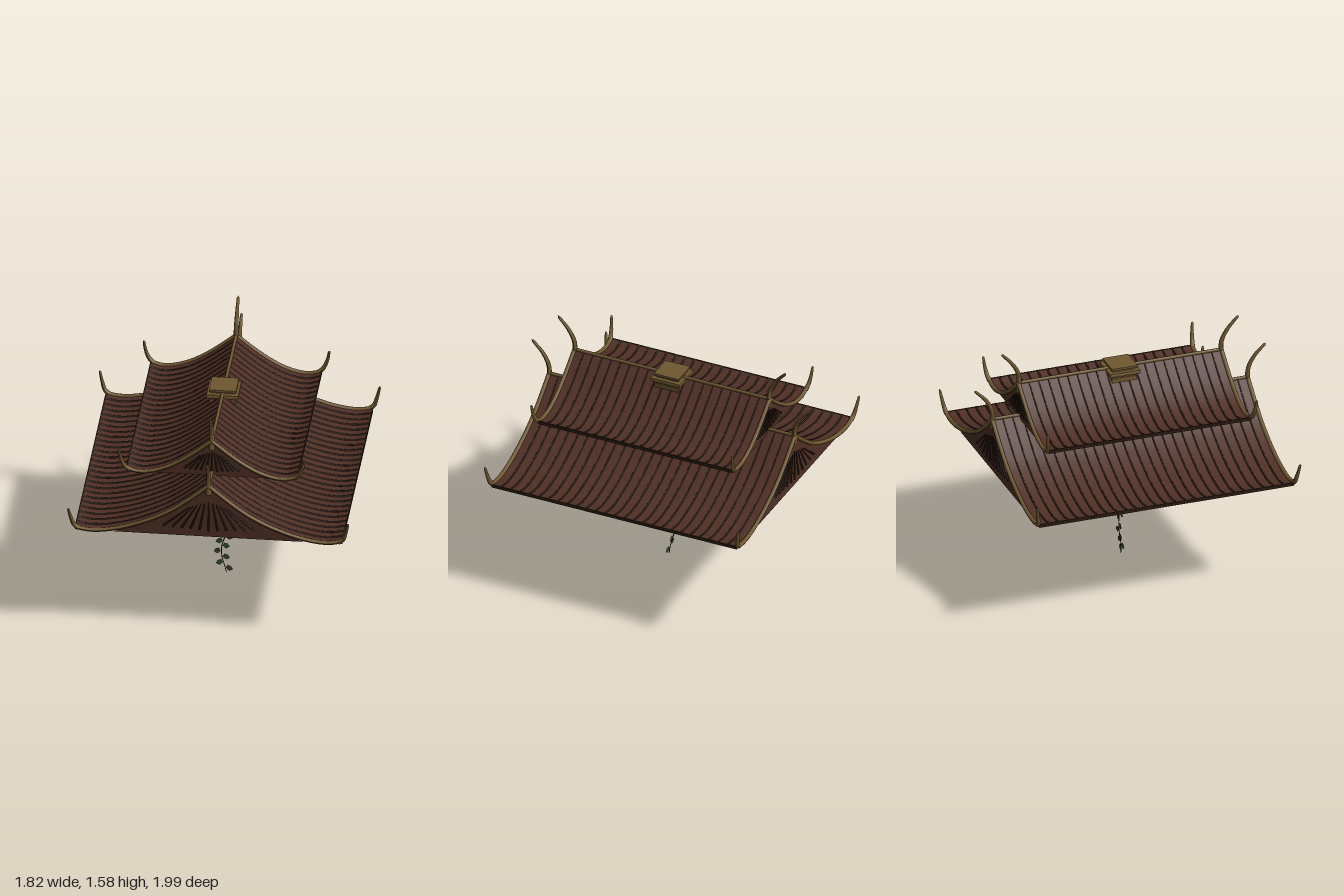
import * as THREE from 'three';
import { toCreasedNormals } from 'three/addons/utils/BufferGeometryUtils.js';

const mat = (name, color, side = THREE.FrontSide) => {
  const m = new THREE.MeshStandardMaterial({ color, side });
  m.name = name;
  return m;
};
const V = (x, y, z) => new THREE.Vector3(x, y, z);

export function createModel() {
  const model = new THREE.Group();
  model.name = 'tieredRoof';
  const wood = mat('brown wood', 0x4f2f25, THREE.DoubleSide);
  const dark = mat('dark ribs', 0x2a1b12);
  const gold = mat('old gold', 0x6f5830, THREE.DoubleSide);
  const redWood = mat('red brown panel', 0x46251f);
  const stemMat = mat('vine stem', 0x24201f);
  const leafMat = mat('leaf green', 0x35482a, THREE.DoubleSide);

  const add = (parent, name, geo, material, x = 0, y = 0, z = 0) => {
    const m = new THREE.Mesh(geo, material);
    m.name = name;
    m.position.set(x, y, z);
    parent.add(m);
    return m;
  };

  // Tube whose radius follows a rule along its length
  const taperTube = (points, radius, rule, n = 24, sides = 8) => {
    const path = new THREE.CatmullRomCurve3(points);
    const geo = new THREE.TubeGeometry(path, n, radius, sides);
    const pos = geo.attributes.position, v = V(0, 0, 0);
    for (let i = 0; i <= n; i++) {
      const c = path.getPointAt(i / n), s = rule(i / n);
      for (let j = 0; j <= sides; j++) {
        const k = i * (sides + 1) + j;
        v.fromBufferAttribute(pos, k).sub(c).multiplyScalar(s).add(c);
        pos.setXYZ(k, v.x, v.y, v.z);
      }
    }
    geo.computeVertexNormals();
    return geo;
  };
  const hornRule = t => (t > 0.99 ? 0 : 1 - 0.55 * t);

  function roofTier(name, o) {
    const g = new THREE.Group();
    g.name = name;
    model.add(g);
    const curve = new THREE.CatmullRomCurve3(o.profile.map(p => V(p[0], p[1], 0)));
    const half = curve.getPoints(24);
    const full = [...half.slice(1).reverse().map(p => V(-p.x, p.y, 0)), ...half];

    // Curved roof slab
    const outline = [...full, ...full.slice().reverse().map(p => V(p.x, p.y - 0.016, 0))];
    const slab = new THREE.ExtrudeGeometry(new THREE.Shape(outline.map(p => new THREE.Vector2(p.x, p.y))),
      { depth: 2 * o.z, bevelEnabled: false });
    slab.translate(0, 0, -o.z);
    add(g, 'roofSlab', toCreasedNormals(slab, 0.5), wood);

    // Dark ribs running down both slopes
    const count = Math.round((2 * o.z) / 0.066);
    for (const s of [-1, 1]) {
      const rib = taperTube(curve.getPoints(10).map(p => V(s * p.x, p.y, 0)), 0.0075, t => 0.55 + 0.45 * t, 18, 5);
      for (let i = 1; i < count; i++) add(g, 'roofRib', rib, dark, 0, 0, -o.z + (2 * o.z * i) / count);
      const end = half[half.length - 1];
      add(g, 'eaveEdge', new THREE.BoxGeometry(0.008, 0.022, 2 * o.z), dark, s * end.x, end.y - 0.01, 0);
    }

    // Ridge beam
    const ridge = new THREE.CylinderGeometry(0.011, 0.011, 2 * o.z, 8).rotateX(Math.PI / 2);
    add(g, 'ridgeBeam', ridge, gold, 0, o.profile[0][1] + 0.002, 0);

    // Gable ends
    const inner = half.filter(p => p.x < o.base * 0.86 && p.x > 0);
    const tri = [[-o.base, o.baseY], [o.base, o.baseY], ...inner.slice().reverse().map(p => [p.x, p.y - 0.008]),
      [0, o.profile[0][1]], ...inner.map(p => [-p.x, p.y - 0.008])];
    const gable = new THREE.ShapeGeometry(new THREE.Shape(tri.map(p => new THREE.Vector2(p[0], p[1]))));
    const h = o.profile[0][1] - o.baseY;
    for (const s of [-1, 1]) {
      add(g, 'gable', gable, wood, 0, 0, s * (o.z - 0.002));
      // Fan of thin ribs on the gable
      for (let i = -5; i <= 5; i++) {
        const w = i / 5, spread = o.base * 0.48 * w;
        const top = V(spread * 0.42, o.baseY + h * (0.68 - 0.12 * Math.abs(w)), s * o.z);
        const low = V(spread, o.baseY + h * (0.12 + 0.06 * Math.abs(w)), s * o.z);
        add(g, 'gableRib', taperTube([top, low], 0.008, t => 0.4 + 0.6 * t, 2, 5), dark);
      }
      // Gilded verges with upturned corner horns
      for (const k of [-1, 1]) {
        add(g, 'verge', taperTube(half.filter((p, i) => i % 3 === 0).map(p => V(k * p.x, p.y, s * (o.z + 0.004))),
          0.014, () => 1, 32), gold);
        const horn = o.cornerHorn.map(p => V(k * p[0], p[1], s * p[2]));
        add(g, 'cornerHorn', taperTube(horn, 0.017, hornRule, 20), gold);
      }
      add(g, 'ridgeHorn', taperTube(o.ridgeHorn.map(p => V(0, p[0], s * p[1])), 0.019, hornRule, 24), gold);
    }
  }

  roofTier('lowerRoof', {
    z: 0.87, base: 0.61, baseY: 0.745,
    profile: [[0, 1.12], [0.1, 1.035], [0.2, 0.957], [0.3, 0.892], [0.5, 0.802], [0.68, 0.757], [0.78, 0.752], [0.86, 0.768]],
    cornerHorn: [[0.84, 0.762, 0.874], [0.868, 0.785, 0.878], [0.887, 0.84, 0.888], [0.905, 0.915, 0.9]],
    ridgeHorn: [[1.06, 0.872], [1.18, 0.876], [1.26, 0.915], [1.345, 0.997]],
  });
  roofTier('upperRoof', {
    z: 0.69, base: 0.37, baseY: 1.095,
    profile: [[0, 1.35], [0.1, 1.268], [0.2, 1.195], [0.3, 1.139], [0.4, 1.106], [0.48, 1.1], [0.55, 1.122]],
    cornerHorn: [[0.535, 1.113], [0.562, 1.14], [0.585, 1.19], [0.6, 1.262]].map((p, i) => [...p, 0.694 + i * 0.007]),
    ridgeHorn: [[1.29, 0.692], [1.41, 0.694], [1.49, 0.735], [1.575, 0.812]],
  });

  // Stacked cap on the upper ridge
  const cap = new THREE.Group();
  cap.name = 'ridgeCap';
  model.add(cap);
  for (const [w, y, t] of [[0.17, 1.295, 0.03], [0.16, 1.325, 0.04], [0.205, 1.34, 0.025], [0.15, 1.36, 0.02], [0.175, 1.374, 0.015]])
    add(cap, 'capLayer', new THREE.BoxGeometry(w, t, w), gold, 0, y, 0);
  for (const s of [-1, 1]) {
    const roll = new THREE.CylinderGeometry(0.013, 0.013, 0.2, 8);
    add(cap, 'capRoll', roll.clone().rotateX(Math.PI / 2), gold, s * 0.092, 1.34, 0);
    add(cap, 'capRoll', roll.clone().rotateZ(Math.PI / 2), gold, 0, 1.34, s * 0.092);
  }

  // Flared neck between the two roofs
  const neck = new THREE.CylinderGeometry(0.2, 0.13, 0.22, 32).scale(1, 1, 1.35);
  add(model, 'neck', neck, gold, 0, 0.99, 0);
  for (const s of [-1, 1])
    add(model, 'neckBracket', taperTube([V(s * 0.15, 1.03, -0.16), V(s * 0.18, 1.045, -0.22), V(s * 0.19, 1.08, -0.3)],
      0.012, hornRule, 8, 6), gold);

  // Ceiling panel with a raised border
  const panel = new THREE.Group();
  panel.name = 'ceilingPanel';
  model.add(panel);
  add(panel, 'panelCore', new THREE.BoxGeometry(0.22, 0.16, 0.26), wood, 0, 0.81, 0);
  add(panel, 'panelBoard', new THREE.BoxGeometry(0.52, 0.022, 0.66), redWood, 0, 0.73, 0);
  for (const s of [-1, 1]) {
    add(panel, 'panelBorder', new THREE.BoxGeometry(0.03, 0.028, 0.7), redWood, s * 0.265, 0.72, 0);
    add(panel, 'panelBorder', new THREE.BoxGeometry(0.5, 0.028, 0.03), redWood, 0, 0.72, s * 0.335);
  }

  // Hanging vine with alternating leaves
  const vine = new THREE.Group();
  vine.name = 'vine';
  model.add(vine);
  const stemAt = y => V(0.018 * Math.cos(((y - 0.66) / 0.34) * 2 * Math.PI), y,
    -0.012 * Math.cos(((y - 0.55) / 0.36) * 2 * Math.PI));
  const stem = Array.from({ length: 21 }, (_, i) => stemAt(0.72 - 0.036 * i));
  add(vine, 'stem', taperTube(stem, 0.005, t => 1 - 0.5 * t, 60, 6), stemMat);
  const leaf = new THREE.Shape([[0, 0], [0.012, 0.022], [0.034, 0.014], [0.046, -0.008], [0.022, -0.022]]
    .map(p => new THREE.Vector2(p[0], p[1])));
  const leafGeo = new THREE.ShapeGeometry(leaf);
  for (let i = 0; i < 18; i++) {
    const s = i % 2 ? 1 : -1, p = stemAt(0.66 - 0.0368 * i);
    const m = add(vine, 'leaf', leafGeo, leafMat, p.x + s * 0.004, p.y, p.z);
    m.scale.x = s;
    m.rotation.y = 0.12 * Math.sin(i * 2.1);
  }
  return model;
}
